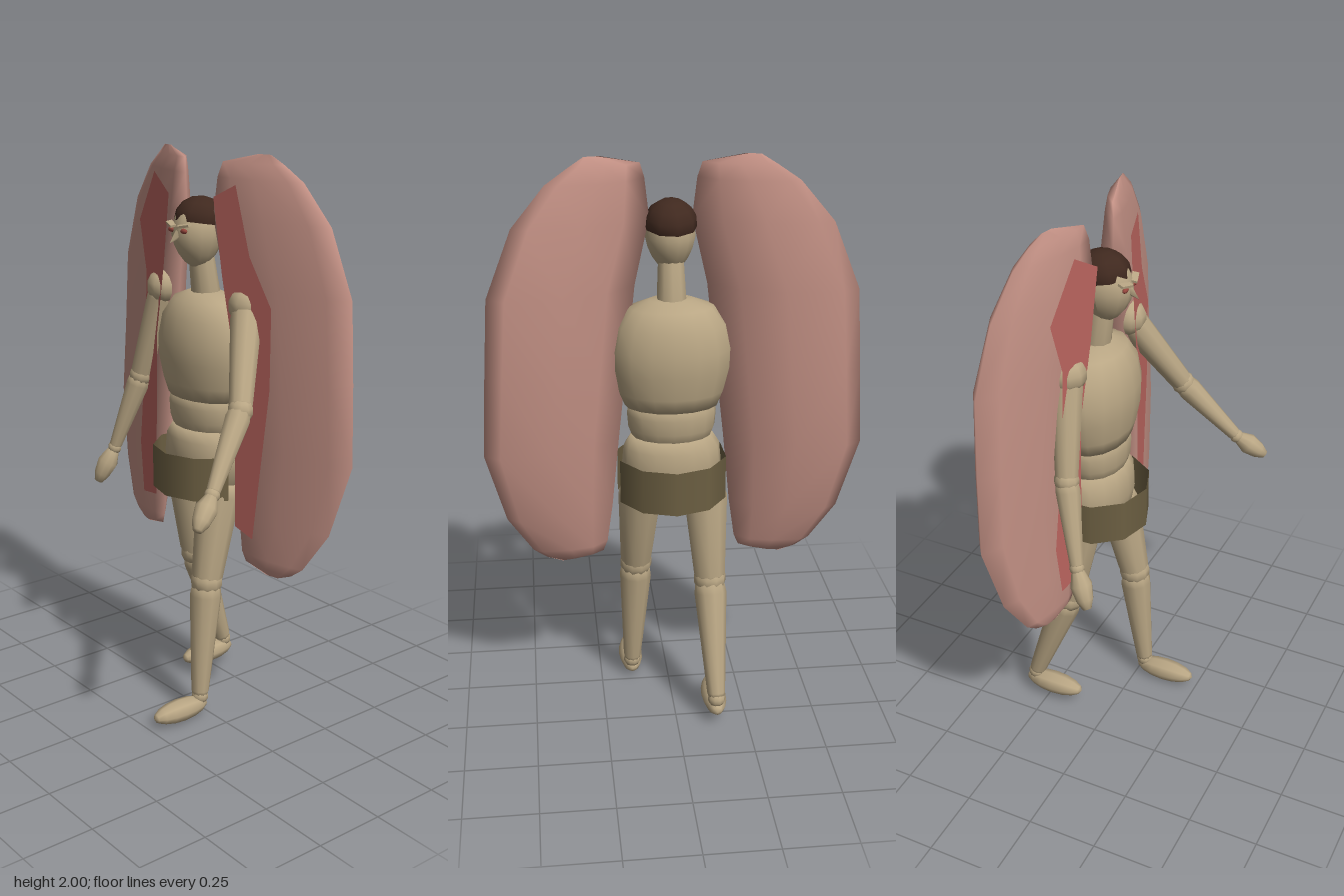
import * as THREE from 'three';

const mat = (name, color, side = THREE.FrontSide) => {
  const m = new THREE.MeshStandardMaterial({ color, side });
  m.name = name;
  return m;
};

export function createModel() {
  const model = new THREE.Group();
  model.name = 'wingedFigure';
  const skin = mat('skin', 0xb9a684);
  const wingPink = mat('wingPink', 0xc29084);
  const wingRed = mat('wingRed', 0xbc6660, THREE.DoubleSide);
  const cloth = mat('cloth', 0x6c5f42, THREE.DoubleSide);
  const hairBrown = mat('hairBrown', 0x40291f);
  const eyeRed = mat('eyeRed', 0x98483e);
  const V = (p) => new THREE.Vector3(...p);
  const up = new THREE.Vector3(0, 1, 0);

  const add = (name, geo, material, pos = [0, 0, 0], parent = model) => {
    const m = new THREE.Mesh(geo, material);
    m.name = name;
    m.position.set(...pos);
    parent.add(m);
    return m;
  };
  const ball = (name, pos, r, parent = model) =>
    add(name, new THREE.SphereGeometry(r, 10, 7), skin, pos, parent);

  // Solid of revolution laid along the line a-b; profile is [radius, 0..1]
  const limb = (name, a, b, profile, parent = model) => {
    const d = V(b).sub(V(a)), len = d.length();
    const pts = profile.map(([r, t]) => new THREE.Vector2(r, t * len));
    const m = add(name, new THREE.LatheGeometry(pts, 10), skin, a, parent);
    m.quaternion.setFromUnitVectors(up, d.normalize());
    return m;
  };
  const taper = (r0, r1) => [[0, 0], [r0 * 0.85, 0], [r0, 0.12], [r1, 0.95], [r1 * 0.8, 1], [0, 1]];

  // Torso blocks: lathed and flattened front to back
  const block = (name, profile, depth, z) => {
    const pts = profile.map(([r, y]) => new THREE.Vector2(r, y));
    add(name, new THREE.LatheGeometry(pts, 16), skin, [0, 0, z]).scale.z = depth;
  };
  block('chest', [[0, 1.15], [0.16, 1.16], [0.18, 1.21], [0.2, 1.29], [0.203, 1.36],
    [0.185, 1.44], [0.14, 1.5], [0.075, 1.525], [0, 1.53]], 0.7, -0.1);
  block('belly', [[0, 1.01], [0.125, 1.02], [0.148, 1.08], [0.152, 1.13], [0.145, 1.18], [0, 1.19]], 0.74, -0.1);
  block('pelvis', [[0, 0.77], [0.08, 0.785], [0.15, 0.85], [0.172, 0.94], [0.165, 1.01],
    [0.14, 1.05], [0, 1.055]], 0.72, -0.1);

  // Waist cloth, open on one hip
  const wrap = add('waistCloth', new THREE.CylinderGeometry(0.19, 0.19, 0.155, 9, 1, true,
    Math.PI / 2 + 0.3, Math.PI * 2 - 0.55), cloth, [0, 0.898, -0.1]);
  wrap.scale.z = 0.98;

  // Neck and head, narrowed towards the chin
  limb('neck', [0, 1.5, -0.1], [0, 1.66, -0.075], taper(0.05, 0.043));
  const skull = new THREE.SphereGeometry(1, 14, 10);
  const sp = skull.attributes.position;
  for (let i = 0; i < sp.count; i++) {
    const y = sp.getY(i), k = y < 0 ? 1 + y * 0.18 : 1;
    sp.setXYZ(i, sp.getX(i) * k * 0.083, y * 0.115, sp.getZ(i) * k * 0.093);
  }
  skull.computeVertexNormals();
  const head = new THREE.Group();
  head.name = 'head';
  head.position.set(0, 1.725, -0.06);
  model.add(head);
  add('skull', skull, skin, [0, 0, 0], head);
  const hair = add('hair', new THREE.SphereGeometry(1, 9, 4, 0, Math.PI * 2, 0, Math.PI * 0.54),
    hairBrown, [0, 0.046, -0.013], head);
  hair.scale.set(0.088, 0.08, 0.096);
  hair.rotation.x = -0.15;
  hair.material.side = THREE.DoubleSide;
  const nose = add('nose', new THREE.ConeGeometry(0.018, 0.045, 4), skin, [0, -0.008, 0.1], head);
  nose.rotation.x = 2.2;
  for (const s of [1, -1]) {
    const eye = add('eye', new THREE.SphereGeometry(1, 8, 6), eyeRed, [s * 0.033, 0.018, 0.085], head);
    eye.scale.set(0.017, 0.009, 0.008);
    const brow = add('brow', new THREE.BoxGeometry(0.05, 0.008, 0.022), skin, [s * 0.034, 0.036, 0.086], head);
    brow.rotation.set(0.2, s * 0.35, s * 0.12);
  }

  // Arms: shoulder, elbow, wrist, fingertip
  const arms = {
    leftArm: [[0.225, 1.51, -0.09], [0.375, 1.21, 0.06], [0.46, 0.985, 0.245], [0.51, 0.9, 0.345]],
    rightArm: [[-0.225, 1.51, -0.09], [-0.32, 1.17, -0.05], [-0.395, 0.885, 0.02], [-0.43, 0.75, 0.075]],
  };
  for (const [name, [s, e, w, t]] of Object.entries(arms)) {
    const g = new THREE.Group();
    g.name = name;
    model.add(g);
    ball('shoulder', s, 0.066, g);
    limb('upperArm', s, e, taper(0.054, 0.04), g);
    ball('elbow', e, 0.043, g);
    limb('forearm', e, w, taper(0.043, 0.024), g);
    ball('wrist', w, 0.026, g);
    limb('hand', w, t, [[0, 0], [0.02, 0.03], [0.038, 0.4], [0.03, 0.75], [0.016, 0.97], [0, 1]], g);
  }

  // Legs in mid stride: hip, knee, ankle, then foot centre
  const legs = {
    leftLeg: [[0.105, 0.86, -0.08], [0.12, 0.51, -0.01], [0.135, 0.075, 0.03], [0.135, 0.045, 0.118]],
    rightLeg: [[-0.115, 0.86, -0.11], [-0.13, 0.51, -0.16], [-0.14, 0.1, -0.305], [-0.14, 0.066, -0.228]],
  };
  for (const [name, [h, k, a, f]] of Object.entries(legs)) {
    const g = new THREE.Group();
    g.name = name;
    model.add(g);
    limb('thigh', h, k, taper(0.078, 0.056), g);
    ball('knee', k, 0.058, g);
    limb('shin', k, a, taper(0.057, 0.032), g);
    ball('ankle', a, 0.031, g);
    const foot = add('foot', new THREE.SphereGeometry(1, 8, 8), skin, f, g);
    foot.geometry.rotateX(Math.PI / 2);
    foot.scale.set(0.044, 0.041, 0.117);
  }

  // Wing sections from top to bottom: y, inner x, outer x, inner z, outer z, thickness
  const sections = [
    [2.0, 0.23, 0.28, -0.125, -0.135, 0],
    [1.97, 0.1, 0.33, -0.085, -0.15, 0.35],
    [1.92, 0.085, 0.405, -0.075, -0.165, 0.55],
    [1.79, 0.07, 0.515, -0.07, -0.185, 0.8],
    [1.57, 0.12, 0.602, -0.08, -0.2, 1],
    [1.3, 0.15, 0.62, -0.085, -0.2, 1],
    [1.03, 0.18, 0.636, -0.09, -0.195, 0.95],
    [0.78, 0.205, 0.57, -0.085, -0.165, 0.7],
    [0.64, 0.225, 0.485, -0.085, -0.13, 0.45],
    [0.605, 0.24, 0.44, -0.09, -0.12, 0.3],
    [0.582, 0.34, 0.385, -0.1, -0.11, 0],
  ];
  // Ring around one section: fraction across, offset in z
  const ring = [[0, 0], [0.2, 0.033], [0.5, 0.043], [0.85, 0.026], [1, 0],
    [0.88, -0.055], [0.5, -0.088], [0.2, -0.08]];
  const wing = (s) => {
    const pos = [], idx = [], n = ring.length;
    for (const [y, x0, x1, z0, z1, h] of sections)
      for (const [u, w] of ring) pos.push(s * (x0 + (x1 - x0) * u), y, z0 + (z1 - z0) * u + w * h);
    for (let i = 0; i < sections.length - 1; i++)
      for (let j = 0; j < n; j++) {
        const a = i * n + j, d = i * n + (j + 1) % n, b = a + n, c = d + n;
        idx.push(...(s > 0 ? [a, b, c, a, c, d] : [a, c, b, a, d, c]));
      }
    const g = new THREE.BufferGeometry();
    g.setAttribute('position', new THREE.Float32BufferAttribute(pos, 3));
    g.setIndex(idx);
    g.computeVertexNormals();
    return g;
  };
  add('leftWing', wing(1), wingPink);
  add('rightWing', wing(-1), wingPink);

  // Red lining on the front of each wing, sloping back outwards
  const lining = (name, s, outline) => {
    const shape = new THREE.Shape(outline.map(([x, y]) => new THREE.Vector2(s * x, y)));
    const g = new THREE.ShapeGeometry(shape);
    const p = g.attributes.position;
    for (let i = 0; i < p.count; i++) p.setZ(i, -0.005 - 0.2 * Math.abs(p.getX(i)));
    g.computeVertexNormals();
    add(name, g, wingRed);
  };
  lining('leftWingLining', 1, [[0.12, 1.86], [0.21, 1.905], [0.27, 1.68], [0.36, 1.52], [0.36, 1.25],
    [0.3, 0.71], [0.225, 0.74], [0.22, 1.3], [0.16, 1.6]]);
  lining('rightWingLining', -1, [[0.12, 1.85], [0.23, 1.915], [0.35, 1.735], [0.3, 1.56], [0.31, 1.3],
    [0.36, 0.9], [0.335, 0.71], [0.23, 0.73], [0.215, 1.35], [0.16, 1.6]]);

  return model;
}
